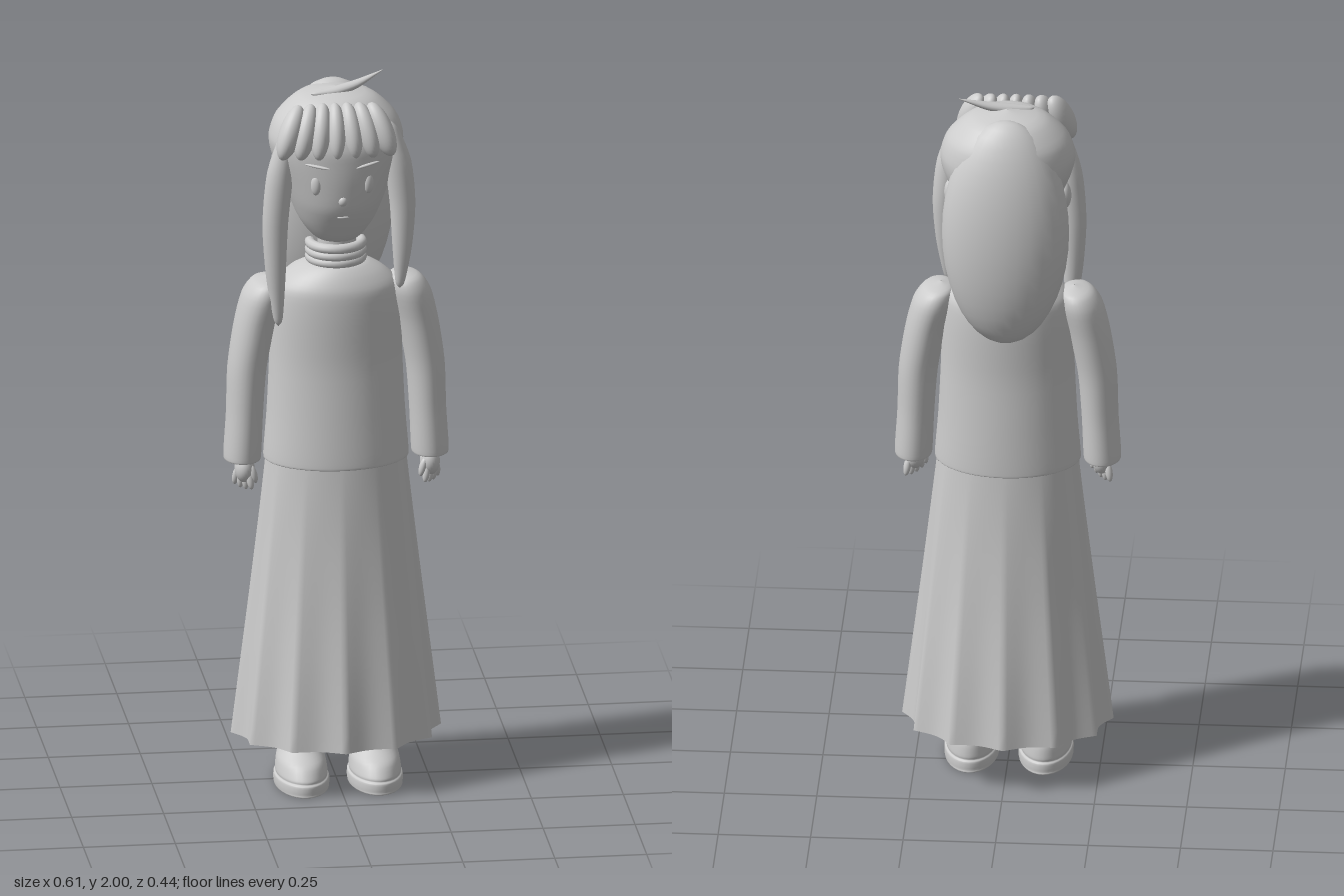
import * as THREE from 'three';

const clay = new THREE.MeshStandardMaterial({ color: 0xcccccc, side: THREE.DoubleSide });
clay.name = 'pale grey';

// Skin a surface over elliptical rings [y, cx, cz, rx, rz], listed from bottom to top.
// wave(angle, t) may scale the radius; t runs from 0 at the bottom to 1 at the top.
function loft(rings, { seg = 32, sub = 4, wave = () => 1 } = {}) {
  const centre = new THREE.CatmullRomCurve3(rings.map(r => new THREE.Vector3(r[1], r[0], r[2])), false, 'catmullrom', 0.4);
  const radius = new THREE.CatmullRomCurve3(rings.map(r => new THREE.Vector3(r[3], 0, r[4])), false, 'catmullrom', 0.4);
  const n = (rings.length - 1) * sub, pos = [], idx = [];
  for (let i = 0; i <= n; i++) {
    const t = i / n, c = centre.getPoint(t), r = radius.getPoint(t);
    for (let j = 0; j < seg; j++) {
      const a = j / seg * Math.PI * 2, w = wave(a, t);
      pos.push(c.x + Math.cos(a) * r.x * w, c.y, c.z + Math.sin(a) * r.z * w);
      if (i === n) continue;
      const p = i * seg + j, q = i * seg + (j + 1) % seg;
      idx.push(p, p + seg, q, q, p + seg, q + seg);
    }
  }
  const g = new THREE.BufferGeometry();
  g.setAttribute('position', new THREE.Float32BufferAttribute(pos, 3));
  g.setIndex(idx);
  g.computeVertexNormals();
  return g;
}

export function createModel() {
  const model = new THREE.Group();
  const add = (name, geometry, parent = model) => {
    const m = new THREE.Mesh(geometry, clay);
    m.name = name;
    parent.add(m);
    return m;
  };
  const ball = (name, p, s, r = [0, 0, 0], parent = model) => {
    const m = add(name, new THREE.SphereGeometry(1, 28, 20), parent);
    m.position.set(...p);
    m.scale.set(...s);
    m.rotation.set(...r);
    return m;
  };

  // Head and neck
  add('head', loft([
    [1.54, 0, 0.015, 0.002, 0.002], [1.552, 0, 0.013, 0.06, 0.07], [1.6, 0, 0.01, 0.1, 0.108],
    [1.66, 0, 0.006, 0.127, 0.142], [1.73, 0, 0.004, 0.153, 0.155], [1.79, 0, 0, 0.176, 0.163],
    [1.835, 0, 0, 0.182, 0.162], [1.89, 0, -0.005, 0.162, 0.145], [1.945, 0, -0.01, 0.1, 0.095],
    [1.966, 0, -0.01, 0.002, 0.002]], { seg: 40 }));
  add('neck', new THREE.CylinderGeometry(0.05, 0.05, 0.16, 24)).position.set(0, 1.52, 0);

  // Face
  for (const s of [1, -1]) {
    ball('eye', [s * 0.072, 1.735, 0.139], [0.014, 0.028, 0.01], [0, s * 0.45, 0]);
    ball('eyebrow', [s * 0.068, 1.792, 0.152], [0.036, 0.004, 0.006], [0, s * 0.4, s * 0.12]);
    ball('ear', [s * 0.152, 1.71, -0.005], [0.02, 0.04, 0.024]);
  }
  ball('nose', [0, 1.69, 0.151], [0.012, 0.014, 0.011]);
  ball('mouth', [0.002, 1.64, 0.138], [0.017, 0.004, 0.005]);

  // Long hair down the back
  ball('backHair', [0, 1.64, -0.097], [0.172, 0.325, 0.107], [0.05, 0, 0]);

  // Fringe of overlapping petals
  for (let i = 0; i < 7; i++) {
    const x = (i - 3) * 0.041;
    const edge = Math.abs(i - 3) / 3;
    ball('fringe', [x - 0.015, 1.882, 0.125 - 0.004 * edge],
      [0.027 + 0.004 * edge, 0.078, 0.038], [-0.42, x * 1.6, x * 3]);
  }

  // Side locks, the right one longer
  for (const [s, tip] of [[1, 1.41], [-1, 1.315]]) {
    const y = k => tip + (1.895 - tip) * k;
    add('sideLock', loft([
      [y(0), s * 0.165, 0.07, 0.001, 0.001], [y(0.04), s * 0.166, 0.07, 0.013, 0.012],
      [y(0.25), s * 0.172, 0.068, 0.027, 0.025], [y(0.5), s * 0.173, 0.066, 0.035, 0.033],
      [y(0.75), s * 0.16, 0.068, 0.036, 0.034], [y(0.94), s * 0.14, 0.07, 0.02, 0.02],
      [y(1), s * 0.13, 0.07, 0.001, 0.001]], { seg: 20 }));
  }

  // Loose tuft on the crown
  const tuft = add('tuft', loft([
    [0, 0, 0, 0.001, 0.001], [0.015, 0.004, 0, 0.007, 0.009], [0.07, 0.012, 0.004, 0.013, 0.018],
    [0.13, 0.012, 0.004, 0.011, 0.015], [0.211, 0, 0, 0.001, 0.001]], { seg: 16 }));
  tuft.position.set(-0.07, 1.956, 0.025);
  tuft.rotation.set(0, 0.245, -1.36, 'YXZ');

  // Sweater
  add('sweater', loft([
    [0.918, 0, 0.002, 0.17, 0.12], [0.918, 0, 0.002, 0.194, 0.141], [0.935, 0, 0.002, 0.197, 0.143],
    [1.05, 0, 0, 0.188, 0.136], [1.2, 0, -0.002, 0.181, 0.127], [1.34, 0, -0.003, 0.177, 0.128],
    [1.41, 0, -0.003, 0.168, 0.124], [1.45, 0, -0.002, 0.13, 0.105], [1.475, 0, 0, 0.085, 0.08],
    [1.48, 0, 0, 0.05, 0.05]], { seg: 40 }));
  for (const y of [1.485, 1.505, 1.526]) {
    const ring = add('collar', new THREE.TorusGeometry(0.07, 0.014, 12, 36));
    ring.position.y = y;
    ring.rotation.x = Math.PI / 2;
  }

  for (const s of [1, -1]) {
    // Sleeves
    add('sleeve', loft([
      [0.92, s * 0.255, 0.004, 0.02, 0.03], [0.92, s * 0.255, 0.004, 0.046, 0.06],
      [0.935, s * 0.255, 0.004, 0.051, 0.065], [1.05, s * 0.249, 0.004, 0.05, 0.064],
      [1.18, s * 0.242, 0.002, 0.053, 0.067], [1.3, s * 0.222, 0, 0.056, 0.074],
      [1.385, s * 0.2, 0, 0.057, 0.079], [1.425, s * 0.187, 0, 0.041, 0.062],
      [1.438, s * 0.18, 0, 0.002, 0.002]], { seg: 28 }));

    // Hands
    const hand = new THREE.Group();
    hand.name = 'hand';
    hand.position.set(s * 0.252, 0.9, 0.03);
    model.add(hand);
    ball('palm', [0, 0, 0], [0.027, 0.04, 0.034], [0, 0, 0], hand);
    for (let i = 0; i < 4; i++) {
      const k = i - 1.5;
      ball('finger', [s * 0.004 - k * s * 0.011, -0.033 + Math.abs(k) * 0.004, k * 0.014],
        [0.01, 0.027, 0.01], [-k * 0.12, 0, -s * k * 0.1], hand);
    }
    ball('thumb', [-s * 0.022, -0.012, 0.02], [0.01, 0.026, 0.011], [0, 0, -s * 0.25], hand);

    // Legs and shoes
    add('leg', new THREE.CylinderGeometry(0.052, 0.046, 0.5, 24)).position.set(s * 0.1, 0.36, 0.005);
    const shoe = [
      [0, 0.01, 0.17, 0.16], [0, 0.066, 0.172, -0.077], [0.008, 0.074, 0.181, -0.085],
      [0.03, 0.074, 0.181, -0.085], [0.036, 0.069, 0.174, -0.079], [0.045, 0.07, 0.172, -0.08],
      [0.075, 0.066, 0.148, -0.076], [0.102, 0.056, 0.1, -0.066], [0.125, 0.05, 0.068, -0.058],
      [0.135, 0.047, 0.055, -0.052]];
    shoe[0] = [0, 0.002, 0.05, 0.046];
    add('shoe', loft(shoe.map(([y, w, front, back]) =>
      [y, s * 0.1, (front + back) / 2, w, (front - back) / 2])));
  }

  // Pleated skirt with twelve folds that fade towards the waist
  add('skirt', loft([
    [0.137, 0, 0, 0.286, 0.222], [0.33, 0, 0, 0.262, 0.2], [0.53, 0, 0, 0.237, 0.176],
    [0.73, 0, 0, 0.213, 0.154], [0.93, 0, 0, 0.19, 0.134]],
  { seg: 144, wave: (a, t) => 1 - 0.09 * (1 - t) * Math.abs(Math.sin(6 * a)) }));

  return model;
}
